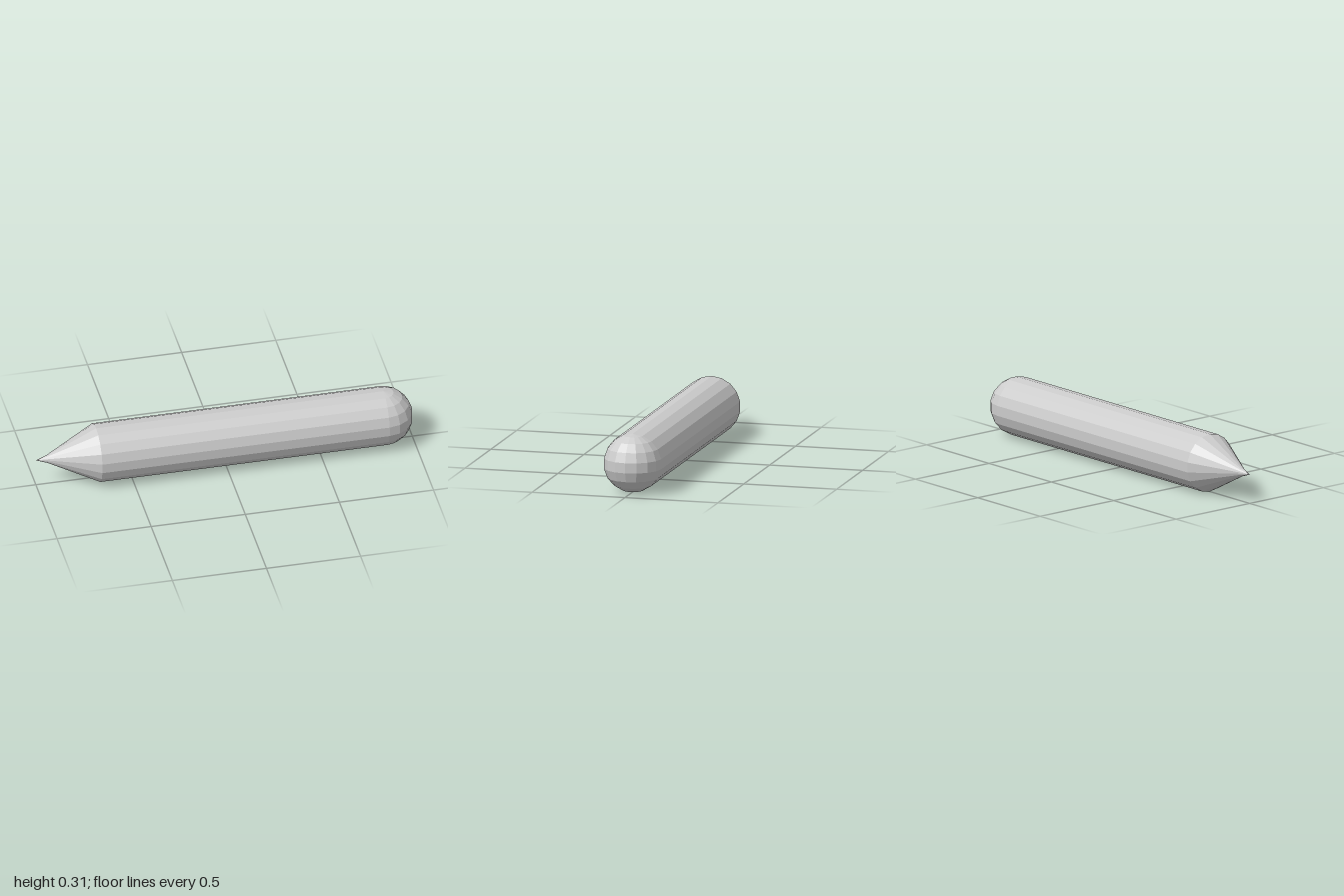
import * as THREE from 'three';

const R = 0.154; // shaft radius, also the height of the axis
const SIDES = 18;

export function createModel() {
  const group = new THREE.Group();
  const material = new THREE.MeshStandardMaterial({ color: 0xcccccc, flatShading: true });

  function add(name, geometry, x) {
    const mesh = new THREE.Mesh(geometry, material);
    mesh.name = name;
    mesh.position.set(x, R, 0);
    group.add(mesh);
  }

  // Tapered section along x, with one corner pointing straight up
  function section(name, x0, r0, x1, r1, open) {
    const geometry = new THREE.CylinderGeometry(r1, r0, x1 - x0, SIDES, 1, open, Math.PI / 2);
    geometry.rotateZ(-Math.PI / 2);
    add(name, geometry, (x0 + x1) / 2);
  }

  // Long shaft, sharpened cone and fine point
  section('shaft', -0.68, R, 0.846, R, true);
  section('sharpenedCone', -0.94, 0.021, -0.68, R, true);
  section('point', -1, 0, -0.94, 0.021, true);

  // Rounded end: the outer half of a ball with upright poles
  const cap = new THREE.SphereGeometry(R, 8, 9, Math.PI / 2, Math.PI);
  add('roundedEnd', cap, 0.846);

  return group;
}
